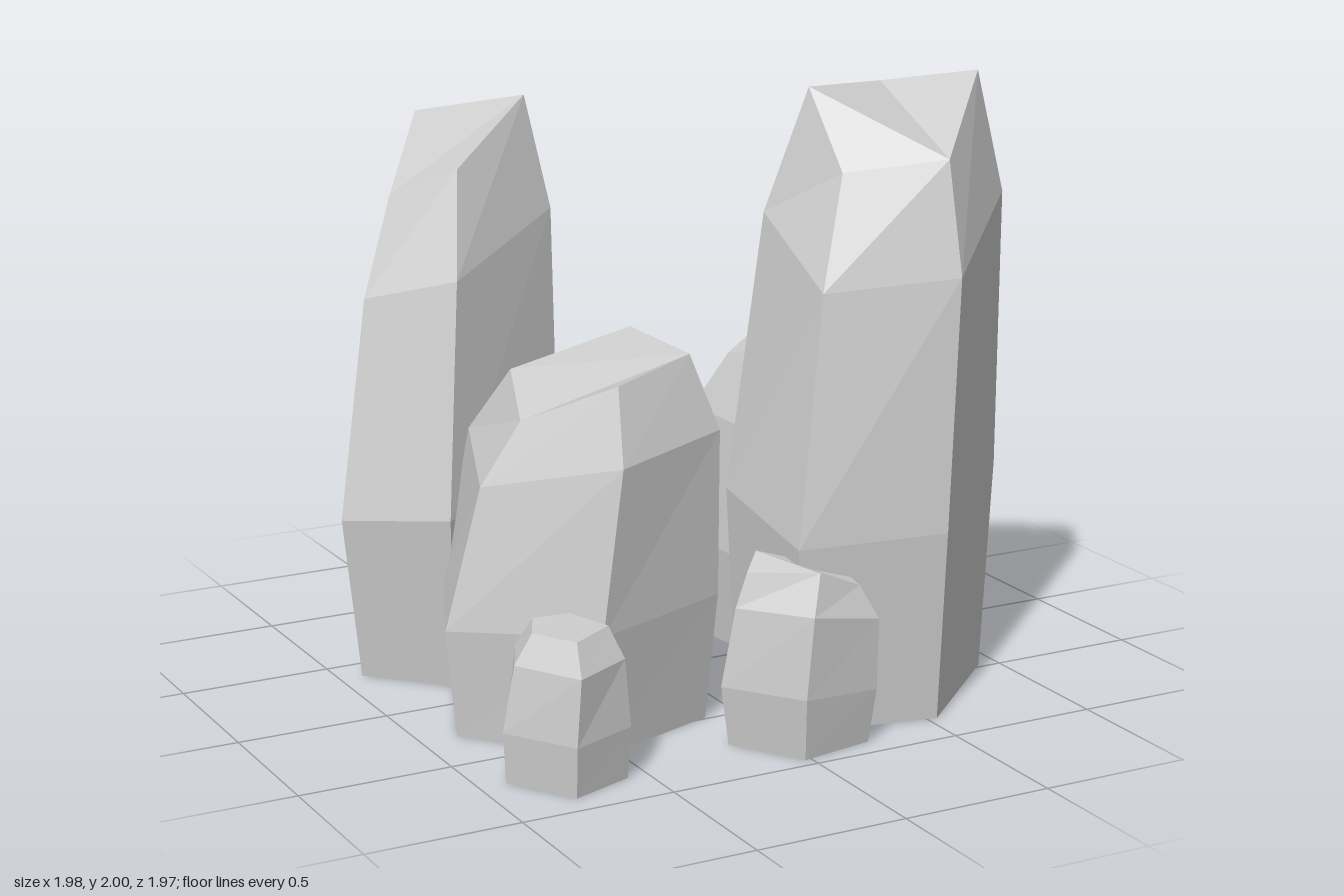
import * as THREE from 'three';

// Five-sided faceted rock. Each corner row, counter-clockwise from above:
// [midX, midZ, shoulderX, shoulderZ, topX, topY, topZ]
// foot: scale of the base against the mid ring; hub: corner the top facets fan from.
function rock(name, foot, hub, corners) {
  const n = corners.length;
  const cx = corners.reduce((s, c) => s + c[0], 0) / n;
  const cz = corners.reduce((s, c) => s + c[1], 0) / n;
  const rings = [
    corners.map(c => [cx + (c[0] - cx) * foot, 0, cz + (c[1] - cz) * foot]),
    corners.map(c => [c[0], c[5] * 0.35, c[1]]),
    corners.map(c => [c[2], c[5] * 0.8, c[3]]),
    corners.map(c => [c[4], c[5], c[6]]),
  ];
  const pos = [];
  const tri = (a, b, c) => pos.push(...a, ...b, ...c);

  // Side facets between neighbouring rings
  for (let r = 0; r < 3; r++) {
    for (let i = 0; i < n; i++) {
      const j = (i + 1) % n, lo = rings[r], hi = rings[r + 1];
      tri(lo[i], lo[j], hi[j]);
      tri(lo[i], hi[j], hi[i]);
    }
  }
  // Top and underside
  for (let k = 1; k < n - 1; k++) {
    const a = (hub + k) % n, b = (hub + k + 1) % n;
    tri(rings[3][hub], rings[3][a], rings[3][b]);
    tri(rings[0][hub], rings[0][b], rings[0][a]);
  }

  const geo = new THREE.BufferGeometry();
  geo.setAttribute('position', new THREE.Float32BufferAttribute(pos, 3));
  geo.computeVertexNormals();
  const mesh = new THREE.Mesh(geo, new THREE.MeshStandardMaterial({ color: 0xcccccc, flatShading: true }));
  mesh.name = name;
  return mesh;
}

export function createModel() {
  const group = new THREE.Group();
  group.name = 'rockCluster';

  // Large rocks
  group.add(rock('tallFrontRock', 0.92, 1, [
    [0.06, 0.77, 0.19, 0.68, 0.32, 1.73, 0.57],
    [0.54, 0.87, 0.61, 0.81, 0.62, 1.77, 0.71],
    [0.97, 0.48, 0.975, 0.48, 0.87, 2.0, 0.48],
    [0.60, 0.12, 0.66, 0.15, 0.65, 1.95, 0.25],
    [0.06, 0.31, 0.19, 0.31, 0.32, 1.97, 0.36],
  ]));
  group.add(rock('tallBackRock', 0.85, 2, [
    [-0.99, -0.36, -0.86, -0.44, -0.73, 1.57, -0.52],
    [-0.73, -0.08, -0.64, -0.20, -0.57, 1.67, -0.34],
    [-0.20, -0.38, -0.18, -0.46, -0.24, 1.86, -0.53],
    [-0.14, -0.92, -0.125, -0.945, -0.20, 1.71, -0.86],
    [-0.60, -0.92, -0.52, -0.945, -0.49, 1.78, -0.85],
  ]));

  // Medium rocks
  group.add(rock('mediumFrontRock', 0.92, 2, [
    [-0.91, 0.27, -0.79, 0.28, -0.66, 1.00, 0.30],
    [-0.57, 0.68, -0.49, 0.66, -0.45, 1.14, 0.55],
    [-0.08, 0.51, -0.07, 0.50, -0.14, 1.18, 0.43],
    [-0.15, -0.07, -0.15, -0.03, -0.17, 1.20, 0.09],
    [-0.72, -0.17, -0.64, -0.13, -0.56, 1.09, 0.02],
  ]));
  group.add(rock('mediumBackRock', 0.94, 2, [
    [0.30, 0.10, 0.36, 0.09, 0.45, 0.94, 0.00],
    [0.78, 0.09, 0.77, 0.07, 0.73, 0.94, 0.00],
    [0.98, -0.51, 0.985, -0.43, 0.90, 0.90, -0.38],
    [0.71, -0.80, 0.73, -0.70, 0.72, 1.01, -0.55],
    [0.25, -0.42, 0.33, -0.41, 0.43, 0.95, -0.34],
  ]));

  // Small rocks
  group.add(rock('smallBackRock', 0.92, 3, [
    [0.26, -0.71, 0.30, -0.75, 0.37, 0.54, -0.80],
    [0.49, -0.60, 0.52, -0.63, 0.53, 0.52, -0.70],
    [0.70, -0.75, 0.70, -0.76, 0.66, 0.60, -0.77],
    [0.69, -0.97, 0.69, -0.985, 0.66, 0.62, -0.93],
    [0.38, -0.97, 0.41, -0.97, 0.43, 0.57, -0.92],
  ]));
  group.add(rock('smallMiddleRock', 0.9, 1, [
    [-0.28, -0.15, -0.23, -0.16, -0.17, 0.72, -0.18],
    [-0.13, 0.17, -0.12, 0.09, -0.10, 0.71, -0.03],
    [0.12, 0.09, 0.11, 0.04, 0.05, 0.64, -0.07],
    [0.18, -0.27, 0.17, -0.26, 0.09, 0.63, -0.22],
    [-0.04, -0.38, -0.04, -0.37, -0.04, 0.68, -0.31],
  ]));
  group.add(rock('smallFrontRock', 0.9, 4, [
    [-0.19, 0.73, -0.14, 0.73, -0.10, 0.55, 0.73],
    [-0.03, 0.98, 0.00, 0.97, 0.06, 0.57, 0.90],
    [0.25, 0.93, 0.26, 0.92, 0.22, 0.50, 0.87],
    [0.27, 0.68, 0.28, 0.69, 0.24, 0.51, 0.71],
    [0.01, 0.56, 0.00, 0.59, -0.03, 0.59, 0.66],
  ]));
  group.add(rock('smallLeftRock', 0.95, 0, [
    [-0.92, 0.70, -0.88, 0.70, -0.82, 0.46, 0.70],
    [-0.78, 0.92, -0.76, 0.91, -0.74, 0.46, 0.84],
    [-0.56, 0.84, -0.57, 0.82, -0.60, 0.47, 0.77],
    [-0.60, 0.57, -0.61, 0.58, -0.65, 0.47, 0.61],
    [-0.81, 0.51, -0.80, 0.54, -0.77, 0.47, 0.60],
  ]));

  return group;
}
